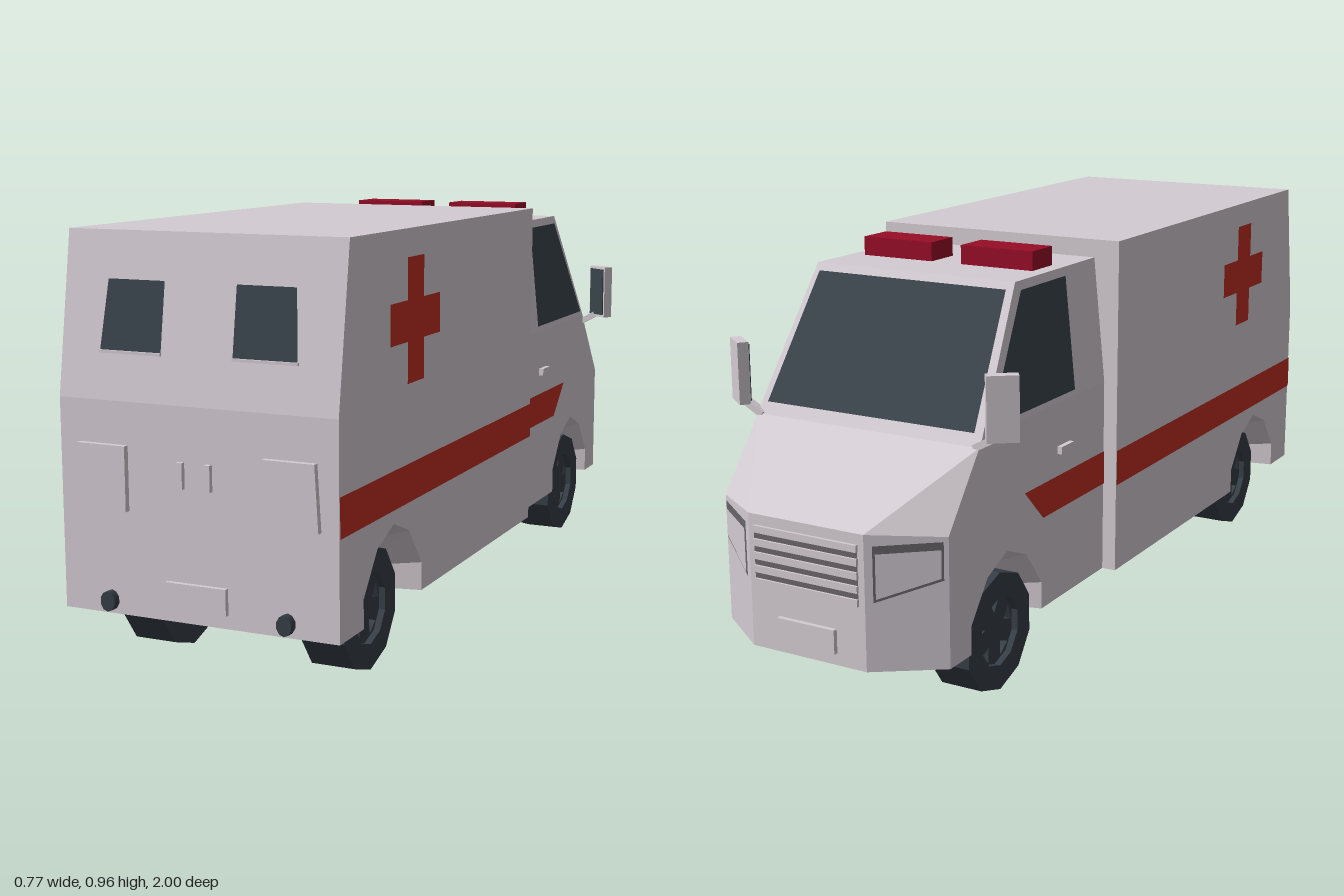
import * as THREE from 'three';

const mat = (name, color, side = THREE.FrontSide) => {
  const m = new THREE.MeshStandardMaterial({ color, side });
  m.name = name;
  return m;
};

export function createModel() {
  const van = new THREE.Group();
  van.name = 'ambulance';
  const paint = mat('bodyPaint', 0xd3cbd2);
  const red = mat('stripeRed', 0xc02e22);
  const beaconRed = mat('beaconRed', 0x960d26);
  const glass = mat('darkGlass', 0x39434a);
  const rubber = mat('rubber', 0x363e46);
  const shade = mat('grilleGap', 0x686469);

  const add = (name, geo, m, x = 0, y = 0, z = 0) => {
    const mesh = new THREE.Mesh(geo, m);
    mesh.name = name;
    mesh.position.set(x, y, z);
    van.add(mesh);
    return mesh;
  };
  const box = (name, m, w, h, d, x, y, z) => add(name, new THREE.BoxGeometry(w, h, d), m, x, y, z);

  // Flat polygon whose front looks along `out`, lifted off its plane by `lift`
  const face = (name, m, pts, out, lift = 0) => {
    const n = new THREE.Vector3(...out).normalize();
    const v = pts.map(p => new THREE.Vector3(...p).addScaledVector(n, lift));
    const a = n.toArray().map(Math.abs);
    const drop = a.indexOf(Math.max(...a));
    const flat = v.map(p => new THREE.Vector2(...p.toArray().filter((_, i) => i !== drop)));
    if (THREE.ShapeUtils.isClockWise(flat)) { flat.reverse(); v.reverse(); }
    const pos = [];
    for (const t of THREE.ShapeUtils.triangulateShape(flat, [])) {
      const [p, q, r] = t.map(i => v[i]);
      const c = q.clone().sub(p).cross(r.clone().sub(p));
      for (const k of c.dot(n) < 0 ? [p, r, q] : [p, q, r]) pos.push(k.x, k.y, k.z);
    }
    const geo = new THREE.BufferGeometry();
    geo.setAttribute('position', new THREE.Float32BufferAttribute(pos, 3));
    geo.computeVertexNormals();
    return add(name, geo, m);
  };
  const pair = (name, m, pts, out, lift) => {
    for (const s of [1, -1]) {
      face(name, m, pts.map(([x, y, z]) => [s * x, y, z]), [s * out[0], out[1], out[2]], lift);
    }
  };

  const BOTTOM = 0.145, BOX = 0.33, CAB = 0.295, INNER = 0.165, SPLIT = -0.18;
  const axles = { rear: 0.71, front: -0.645 };
  const arch = [[0.155, 0], [0.155, 0.065], [0.085, 0.155], [0, 0.19], [-0.085, 0.155], [-0.155, 0.065], [-0.155, 0]];
  const archAt = (x, zc, k = 1) => arch.map(([z, y]) => [x, BOTTOM + y * (k < 1 ? 0.7 : 1), zc + z * k]);

  // Tapered wheel arch liners
  for (const [x, zc] of [[BOX, axles.rear], [CAB, axles.front]]) {
    const o = archAt(x, zc), i = archAt(INNER, zc, 0.8);
    for (let j = 0; j < o.length - 1; j++) {
      const mz = (o[j][2] + o[j + 1][2]) / 2, my = (o[j][1] + o[j + 1][1]) / 2;
      pair('wheelArch', paint, [o[j], o[j + 1], i[j + 1]], [0.3, BOTTOM - my, zc - mz]);
      pair('wheelArch', paint, [o[j], i[j + 1], i[j]], [0.3, BOTTOM - my, zc - mz]);
    }
  }

  // Rear box
  pair('boxSide', paint, [[BOX, BOTTOM, SPLIT], [BOX, 0.963, SPLIT], [BOX, 0.965, 0.925], [BOX, 0.61, 0.98],
    [BOX, BOTTOM, 0.98], ...archAt(BOX, axles.rear)], [1, 0, 0]);
  const span = (x1, y1, z1, x2, y2, z2) => [[-x1, y1, z1], [x1, y1, z1], [x2, y2, z2], [-x2, y2, z2]];
  face('boxRoof', paint, span(BOX, 0.963, SPLIT, BOX, 0.965, 0.925), [0, 1, 0]);
  face('boxFront', paint, span(BOX, BOTTOM, SPLIT, BOX, 0.963, SPLIT), [0, 0, -1]);
  face('boxRearLower', paint, span(BOX, BOTTOM, 0.98, BOX, 0.61, 0.98), [0, 0, 1]);
  face('boxRearUpper', paint, span(BOX, 0.61, 0.98, BOX, 0.965, 0.925), [0, 0.15, 1]);

  // Floors, notched around the wheels
  const floor = (name, x, zc, z0, z1, nose) => {
    const notch = [[x, zc + 0.155], [INNER, zc + 0.124], [INNER, zc - 0.124], [x, zc - 0.155]];
    const half = [[x, z1], ...notch, [x, z0], ...nose];
    const rest = half.map(([a, b]) => [-a, b]).reverse();
    face(name, paint, [...half, ...rest].map(([a, b]) => [a, BOTTOM, b]), [0, -1, 0]);
  };
  floor('boxFloor', BOX, axles.rear, SPLIT, 0.98, []);
  floor('cabFloor', CAB, axles.front, -0.885, SPLIT, [[0.15, -0.985]]);

  // Cab
  const sideX = y => CAB - 0.1 * (y - 0.62);
  pair('cabSideLower', paint, [[CAB, BOTTOM, SPLIT], [CAB, 0.62, SPLIT], [CAB, 0.62, -0.747], [CAB, 0.6, -0.76],
    [CAB, 0.44, -0.885], [CAB, BOTTOM, -0.885], ...archAt(CAB, axles.front).reverse()].reverse(), [1, 0, 0]);
  pair('cabSideUpper', paint, [[CAB, 0.62, SPLIT], [0.265, 0.92, SPLIT], [0.265, 0.92, -0.555], [CAB, 0.62, -0.747]], [1, 0.1, 0]);
  face('cabRoof', paint, span(0.265, 0.92, SPLIT, 0.265, 0.92, -0.555), [0, 1, 0]);
  const slope = [0, 0.54, -0.84];
  const screenZ = y => -0.555 - 0.64 * (0.92 - y);
  face('windscreenFrame', paint, [[-0.265, 0.92, -0.555], [0.265, 0.92, -0.555], [CAB, 0.62, -0.747], [CAB, 0.6, -0.76],
    [-CAB, 0.6, -0.76], [-CAB, 0.62, -0.747]], slope);
  face('windscreen', glass, span(0.25, 0.902, screenZ(0.902), 0.275, 0.625, screenZ(0.625)), slope, 0.004);
  pair('sideWindow', glass, [[-0.335, 0.635], [-0.335, 0.9], [-0.54, 0.9], [-0.715, 0.635]]
    .map(([z, y]) => [sideX(y), y, z]), [1, 0.1, 0], 0.004);

  // Bonnet and nose
  face('bonnet', paint, span(CAB, 0.6, -0.76, 0.15, 0.45, -0.985), [0, 1, -0.6]);
  pair('bonnetCorner', paint, [[CAB, 0.6, -0.76], [CAB, 0.44, -0.885], [0.15, 0.45, -0.985]], [0.5, 0.7, -0.6]);
  face('nose', paint, span(0.15, BOTTOM, -0.985, 0.15, 0.45, -0.985), [0, 0, -1]);
  pair('noseCorner', paint, [[0.15, BOTTOM, -0.985], [0.15, 0.45, -0.985], [CAB, 0.44, -0.885], [CAB, BOTTOM, -0.885]], [0.1, 0, -0.145]);
  const corner = (t, y) => [0.15 + 0.145 * t, y, -0.985 + 0.1 * t];
  const lampOut = [0.1, 0, -0.145];
  pair('headlampSurround', shade, [corner(0.1, 0.3), corner(0.1, 0.425), corner(0.94, 0.43), corner(0.94, 0.345)], lampOut, 0.002);
  pair('headlamp', paint, [corner(0.13, 0.308), corner(0.13, 0.408), corner(0.91, 0.413), corner(0.91, 0.35)], lampOut, 0.004);
  face('grille', shade, span(0.135, 0.29, -0.985, 0.135, 0.425, -0.985), [0, 0, -1], 0.002);
  for (let i = 0; i < 5; i++) box('grilleSlat', paint, 0.27, 0.016, 0.008, 0, 0.298 + i * 0.03, -0.988);
  box('frontPlate', paint, 0.15, 0.055, 0.012, 0, 0.2, -0.99);

  // Red stripes and crosses
  pair('boxStripe', red, [[BOX, 0.365, 0.98], [BOX, 0.452, 0.98], [BOX, 0.452, SPLIT], [BOX, 0.365, SPLIT]], [1, 0, 0], 0.002);
  pair('cabStripe', red, [[CAB, 0.365, SPLIT], [CAB, 0.447, SPLIT], [CAB, 0.447, -0.57], [CAB, 0.365, -0.485]], [1, 0, 0], 0.002);
  const w = 0.045, L = 0.137;
  pair('cross', red, [[w, L], [w, w], [L, w], [L, -w], [w, -w], [w, -L], [-w, -L], [-w, -w], [-L, -w], [-L, w], [-w, w], [-w, L]]
    .map(([z, y]) => [BOX, 0.766 + y, 0.595 + z]), [1, 0, 0], 0.002);

  // Rear windows, panels, plate
  const rearZ = y => 0.98 - 0.155 * (y - 0.61);
  pair('rearWindow', glass, [[0.085, 0.715], [0.085, 0.863], [0.222, 0.863], [0.233, 0.715]]
    .map(([x, y]) => [x, y, rearZ(y)]), [0, 0.15, 1], 0.003);
  box('rearPlate', paint, 0.146, 0.058, 0.012, 0, 0.204, 0.985);
  const lamp = [[0.163, 0.375], [0.29, 0.375], [0.282, 0.517], [0.163, 0.517]];

  // Alloy wheel pieces: ten-sided tyre and a thin disc with five openings
  const ring = (r, n) => Array.from({ length: n }, (_, i) => {
    const a = -Math.PI / 2 + (i / n) * Math.PI * 2;
    return new THREE.Vector2(r * Math.cos(a), r * Math.sin(a));
  });
  const tyreShape = new THREE.Shape(ring(0.14, 10));
  tyreShape.holes.push(new THREE.Path(ring(0.082, 10)));
  const rimShape = new THREE.Shape(ring(0.083, 10));
  for (let i = 0; i < 5; i++) {
    const a = Math.PI / 2 + (i * Math.PI * 2) / 5;
    rimShape.holes.push(new THREE.Path([[0.074, -0.27], [0.074, 0.27], [0.042, 0]]
      .map(([r, d]) => new THREE.Vector2(r * Math.cos(a + d), r * Math.sin(a + d)))));
  }
  const slab = (shape, depth) => new THREE.ExtrudeGeometry(shape, { depth, bevelEnabled: false })
    .translate(0, 0, -depth / 2).rotateY(Math.PI / 2);
  const tyre = slab(tyreShape, 0.103), rim = slab(rimShape, 0.02);

  for (const s of [1, -1]) {
    for (const z of Object.values(axles)) {
      add('tyre', tyre, rubber, s * 0.2235, 0.14, z);
      add('rim', rim, rubber, s * 0.25, 0.14, z);
    }
    // Rear door details
    const shape = new THREE.Shape(lamp.map(([x, y]) => new THREE.Vector2(s * x, y)));
    add('rearLampPanel', new THREE.ExtrudeGeometry(shape, { depth: 0.014, bevelEnabled: false }), paint, 0, 0, 0.98);
    box('rearHandle', paint, 0.014, 0.057, 0.012, s * 0.033, 0.464, 0.985);
    box('rearWindowSill', paint, 0.15, 0.006, 0.012, s * 0.16, 0.712, rearZ(0.712));
    const pipe = add('tailRoundel', new THREE.CylinderGeometry(0.018, 0.018, 0.03, 10).rotateX(Math.PI / 2), rubber, s * 0.212, 0.175, 0.984);
    pipe.scale.y = 1.25;
    // Roof beacons and door handles
    box('beacon', beaconRed, 0.19, 0.045, 0.092, s * 0.135, 0.942, -0.37);
    box('doorHandle', paint, 0.014, 0.018, 0.058, s * 0.3, 0.508, -0.385);
    // Door mirrors
    const mirror = new THREE.Group();
    mirror.name = 'doorMirror';
    mirror.position.set(s * 0.347, 0.692, -0.752);
    mirror.rotation.y = -s * 0.65;
    const shell = new THREE.Mesh(new THREE.BoxGeometry(0.07, 0.145, 0.026), paint);
    shell.name = 'mirrorShell';
    const pane = new THREE.Mesh(new THREE.BoxGeometry(0.06, 0.132, 0.004), glass);
    pane.name = 'mirrorGlass';
    pane.position.z = 0.014;
    mirror.add(shell, pane);
    van.add(mirror);
    const arm = box('mirrorArm', paint, 0.06, 0.016, 0.018, s * 0.308, 0.612, -0.755);
    arm.rotation.z = s * 0.5;
  }
  return van;
}
